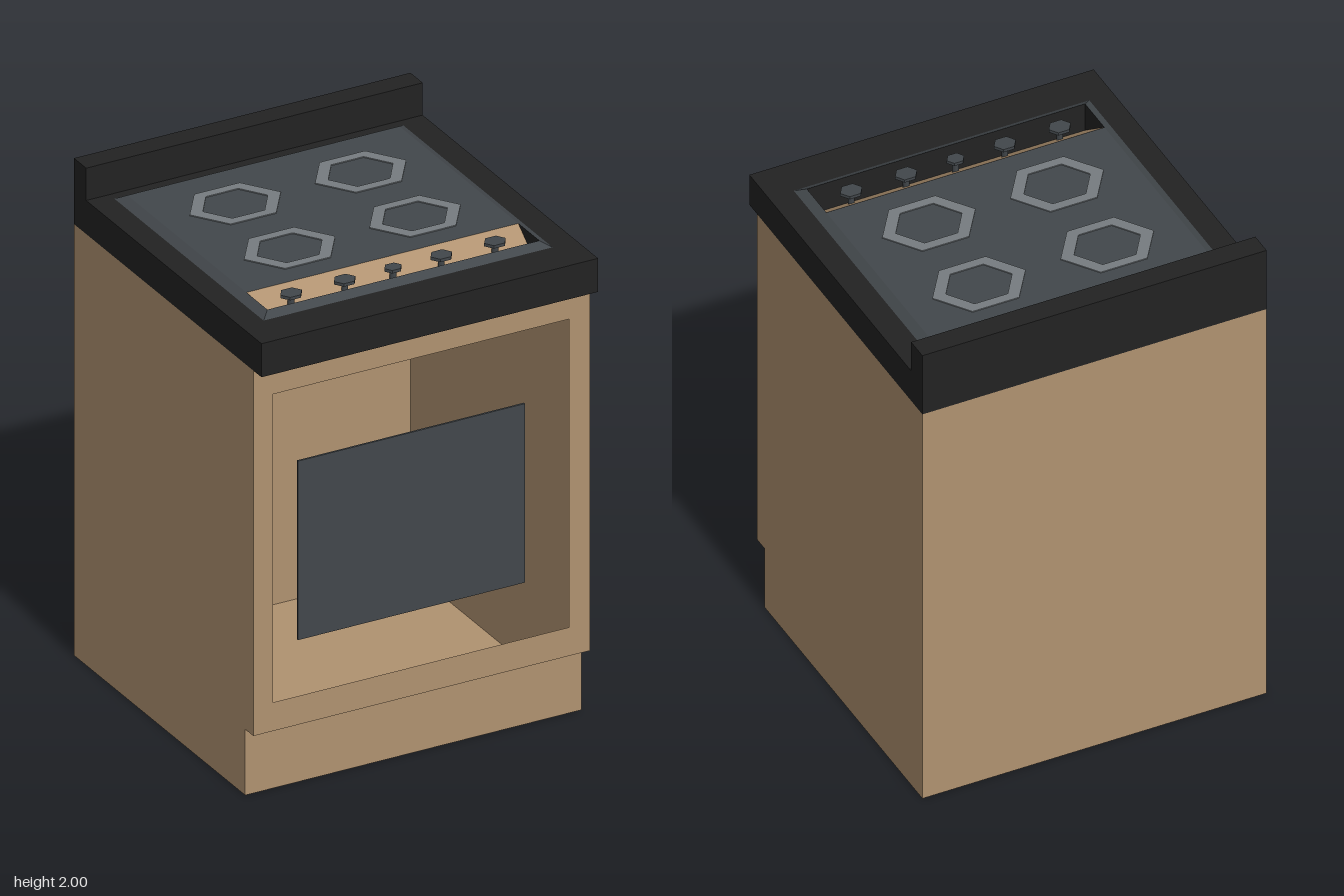
import * as THREE from 'three';

const tan = new THREE.MeshStandardMaterial({ color: 0xb09270, side: THREE.DoubleSide });
tan.name = 'tan enamel';
const black = new THREE.MeshStandardMaterial({ color: 0x222222, side: THREE.DoubleSide });
black.name = 'black trim';
const slate = new THREE.MeshStandardMaterial({ color: 0x42474b, side: THREE.DoubleSide });
slate.name = 'slate glass';
const grey = new THREE.MeshStandardMaterial({ color: 0x767c80 });
grey.name = 'burner grey';

function add(parent, name, geometry, material, x = 0, y = 0, z = 0) {
  const mesh = new THREE.Mesh(geometry, material);
  mesh.name = name;
  mesh.position.set(x, y, z);
  parent.add(mesh);
  return mesh;
}

// Flat four-cornered faces, corners counter-clockwise seen from the front
function quads(...faces) {
  const p = [];
  for (const [a, b, c, d] of faces) p.push(...a, ...b, ...c, ...a, ...c, ...d);
  const g = new THREE.BufferGeometry();
  g.setAttribute('position', new THREE.Float32BufferAttribute(p, 3));
  g.computeVertexNormals();
  return g;
}

function rect(x0, x1, y0, y1, Type = THREE.Shape) {
  return new Type([[x0, y0], [x1, y0], [x1, y1], [x0, y1]].map(([x, y]) => new THREE.Vector2(x, y)));
}

function hexagon(r, squash, Type = THREE.Shape) {
  const pts = [];
  for (let i = 0; i < 6; i++) {
    const a = (i * Math.PI) / 3;
    pts.push(new THREE.Vector2(Math.cos(a) * r, Math.sin(a) * r * squash));
  }
  return new Type(pts);
}

// Extrude a plan shape (x, -z) upward
function slab(shape, height) {
  return new THREE.ExtrudeGeometry(shape, { depth: height, bevelEnabled: false }).rotateX(-Math.PI / 2);
}

export function createModel() {
  const model = new THREE.Group();
  model.name = 'cooker';
  const W = 0.69, top = 1.735, front = 0.63, kick = 0.57, kickY = 0.265;

  // Hollow cabinet
  const cabinet = new THREE.Group();
  cabinet.name = 'cabinet';
  model.add(cabinet);
  const face = rect(-W, W, kickY, top);
  face.holes.push(rect(-0.61, 0.605, 0.38, 1.62, THREE.Path));
  add(cabinet, 'frontFrame', new THREE.ShapeGeometry(face), tan, 0, 0, front);

  const profile = new THREE.Shape([[-W, 0], [kick, 0], [kick, kickY], [front, kickY], [front, top], [-W, top]]
    .map(([z, y]) => new THREE.Vector2(-z, y)));
  for (const side of [1, -1]) {
    const g = new THREE.ShapeGeometry(profile).rotateY(Math.PI / 2);
    const panel = add(cabinet, side > 0 ? 'leftSide' : 'rightSide', g, tan, side * W);
    panel.scale.x = side;
  }
  add(cabinet, 'backPanel', quads([[W, 0, -W], [-W, 0, -W], [-W, top, -W], [W, top, -W]]), tan);
  add(cabinet, 'floor', quads([[-W, 0, -W], [W, 0, -W], [W, 0, kick], [-W, 0, kick]]), tan);
  add(cabinet, 'toeKick', quads(
    [[-W, 0, kick], [W, 0, kick], [W, kickY, kick], [-W, kickY, kick]],
    [[-W, kickY, kick], [W, kickY, kick], [W, kickY, front], [-W, kickY, front]]), tan);
  add(model, 'ovenWindow', new THREE.BoxGeometry(0.93, 0.72, 0.008), slate, -0.008, 0.93, 0.566);

  // Counter with a slot for the controls, and the upstand behind it
  const x0 = -0.56, x1 = 0.555, zBack = -0.53, zSlot = 0.345, zFront = 0.5, yC = 1.87, yD = 1.89;
  const counter = rect(-W, W, -W, W);
  counter.holes.push(rect(x0, x1, -zFront, -zSlot, THREE.Path));
  add(model, 'counter', slab(counter, yC - top), black, 0, top);
  add(model, 'upstand', new THREE.BoxGeometry(2 * W, 2 - yC, 0.09), black, 0, (2 + yC) / 2, -0.645);

  // Hob deck with sloped rim
  const hob = new THREE.Group();
  hob.name = 'hob';
  model.add(hob);
  add(hob, 'deck', quads([[x0, yD, zSlot], [x1, yD, zSlot], [x1, yD, zBack], [x0, yD, zBack]]), slate);
  const outer = [[-0.595, yC, 0.535], [0.59, yC, 0.535], [0.59, yC, -0.563], [-0.595, yC, -0.563]];
  const inner = [[x0, yD, zFront], [x1, yD, zFront], [x1, yD, zBack], [x0, yD, zBack]];
  add(hob, 'rim', quads(...outer.map((o, i) => {
    const j = (i + 1) % 4;
    return [o, outer[j], inner[j], inner[i]];
  })), slate);

  // Burner rings
  for (const x of [-0.257, 0.257]) {
    for (const z of [-0.28, 0.12]) {
      const ring = hexagon(0.187, 0.83);
      ring.holes.push(hexagon(0.133, 0.846, THREE.Path));
      add(hob, 'burner', slab(ring, 0.004), grey, x, yD, z);
    }
  }

  // Sunken control slot: dark liner, sloping panel and knobs
  const controls = new THREE.Group();
  controls.name = 'controls';
  model.add(controls);
  add(controls, 'slotLiner', quads(
    [[x1, yC, zFront], [x0, yC, zFront], [x0, yD, zFront], [x1, yD, zFront]],
    [[x0, yC, zFront], [x0, yC, zSlot], [x0, yD, zSlot], [x0, yD, zFront]],
    [[x1, yC, zSlot], [x1, yC, zFront], [x1, yD, zFront], [x1, yD, zSlot]]), black);
  add(controls, 'controlPanel', quads(
    [[x0, 1.77, zFront], [x1, 1.77, zFront], [x1, yD, zSlot], [x0, yD, zSlot]]), tan);
  [-0.42, -0.2, -0.002, 0.196, 0.416].forEach((x, i) => {
    add(controls, 'knob', slab(hexagon(i === 2 ? 0.035 : 0.044, 0.866), 0.012), slate, x, yD - 0.012, 0.423);
    add(controls, 'knobStem', new THREE.CylinderGeometry(0.012, 0.012, 0.06, 6), slate, x, 1.85, 0.423);
  });

  return model;
}
